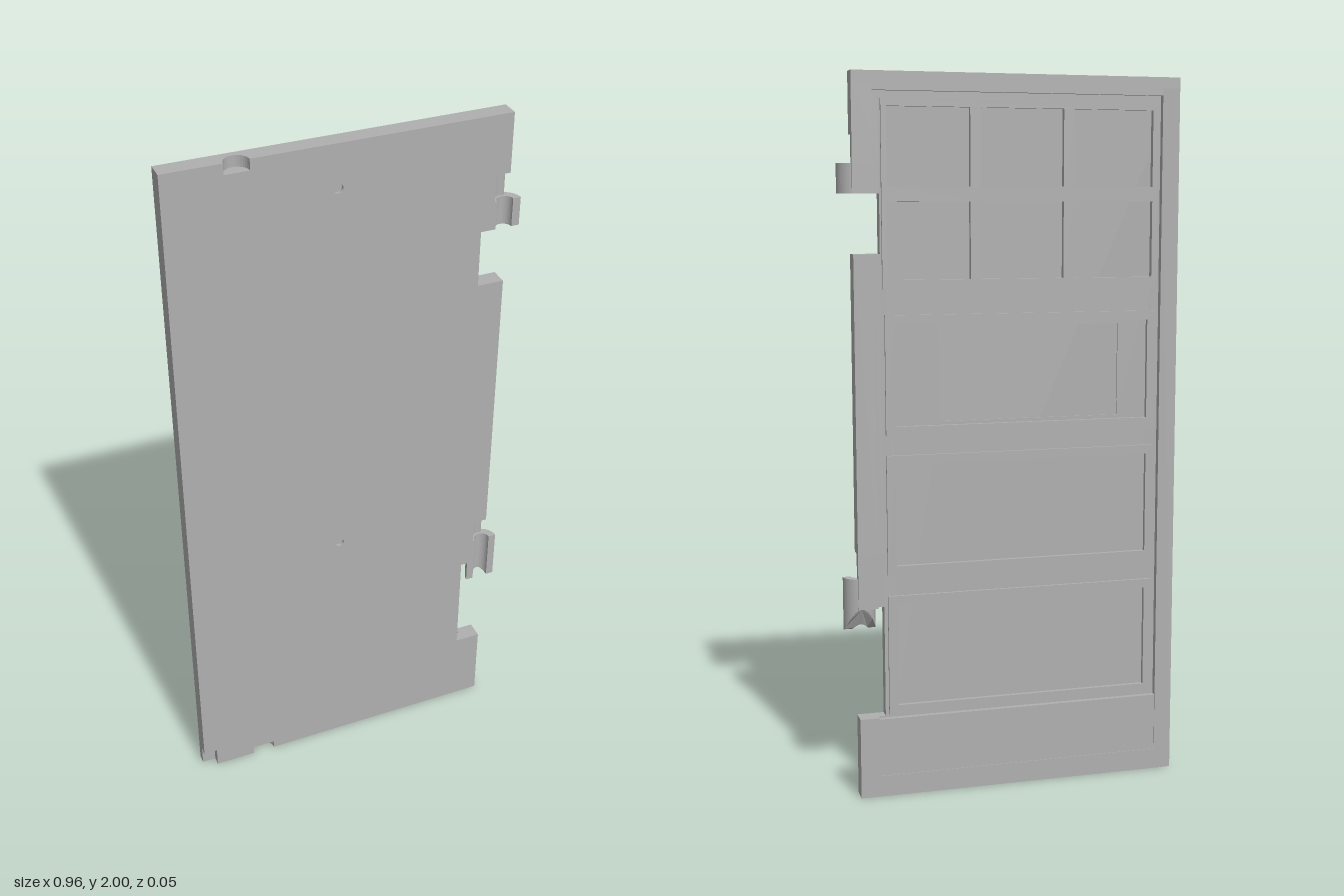
import * as THREE from 'three';

const F = 0.025;            // half thickness: front face z = F, back face z = -F
const FLOOR = -0.008;       // recessed field on the back
const HINGE_X = 0.435;

export function createModel() {
  const group = new THREE.Group();
  const grey = new THREE.MeshStandardMaterial({ color: 0xb0b0b0 });
  grey.name = 'grey';

  const add = (name, geo) => {
    const mesh = new THREE.Mesh(geo, grey);
    mesh.name = name;
    group.add(mesh);
    return mesh;
  };
  const poly = (pts) => new THREE.Shape(pts.map(([x, y]) => new THREE.Vector2(x, y)));
  const rect = ([x0, x1, y0, y1]) => poly([[x0, y0], [x1, y0], [x1, y1], [x0, y1]]);
  const circle = (x, y, r) => new THREE.Path().absarc(x, y, r, 0, Math.PI * 2);

  // Upright layer: outline in x/y, thickness z0..z1
  const layer = (name, shape, holes, z0, z1) => {
    shape.holes.push(...holes);
    const geo = new THREE.ExtrudeGeometry(shape, { depth: z1 - z0, bevelEnabled: false, curveSegments: 16 });
    return add(name, geo.translate(0, 0, z0));
  };
  // Horizontal slice: outline in x/-z, height y0..y1
  const slice = (name, pts, y0, y1) => {
    const geo = new THREE.ExtrudeGeometry(poly(pts), { depth: y1 - y0, bevelEnabled: false });
    return add(name, geo.rotateX(-Math.PI / 2).translate(0, y0, 0));
  };
  // Arc points around a centre on the front face
  const arc = (cx, r, a0, a1, n = 16) => Array.from({ length: n + 1 }, (_, i) => {
    const a = a0 + (a1 - a0) * i / n;
    return [cx + r * Math.cos(a), -F + r * Math.sin(a)];
  });

  // Top and bottom strips with half-round pivot sockets
  const socket = arc(-0.288, 0.033, Math.PI, 0);
  const back = [[0.445, -F], [0.445, F], [-0.48, F]];
  slice('topStrip', [[-0.48, -F], ...socket, ...back], 1.97, 2);
  slice('bottomStrip', [[-0.48, 0], [-0.44, 0], [-0.44, -F], ...socket, ...back], 0, 0.025);

  // Hinge-side stile, built from slices between the two cut-outs
  const stileBack = [[0.445, F], [0.39, F], [0.39, -FLOOR], [0.37, -FLOOR], [0.37, -F]];
  const plain = [[0.445, -F], ...stileBack];
  const pocket = [...arc(HINGE_X, 0.03, Math.PI, Math.acos(1 / 3)), ...stileBack];
  const knuckle = [...arc(HINGE_X, 0.023, Math.PI, 0), ...arc(HINGE_X, 0.045, 0, Math.acos(0.01 / 0.045)), ...stileBack];
  [
    ['lowerStile', plain, 0.025, 0.23],
    ['lowerHingeKnuckle', knuckle, 0.545, 0.63],
    ['lowerPinPocket', pocket, 0.63, 0.70],
    ['middleStile', plain, 0.70, 1.52],
    ['upperHingeKnuckle', knuckle, 1.68, 1.76],
    ['upperPinPocket', pocket, 1.76, 1.835],
    ['upperStile', plain, 1.835, 1.97],
  ].forEach((s) => slice(...s));

  // Hinge clip hanging below the lower knuckle, with a curved lower edge
  const clip = slice('hingeClip', [...arc(HINGE_X, 0.023, Math.PI, 0), ...arc(HINGE_X, 0.045, 0, Math.PI)], 0.48, 0.55);
  const pos = clip.geometry.attributes.position;
  for (let i = 0; i < pos.count; i++) {
    if (pos.getY(i) < 0.5) {
      const t = Math.max(0, (F - pos.getZ(i)) / 0.045);
      pos.setY(i, 0.48 + 0.065 * t * t);
    }
  }
  clip.geometry.computeVertexNormals();

  // Window panes and panels on the back: [x0, x1, y0, y1]
  const panes = [];
  for (const [x0, x1] of [[0.12, 0.35], [-0.145, 0.09], [-0.405, -0.175]]) {
    for (const [y0, y1] of [[1.45, 1.66], [1.70, 1.91]]) panes.push([x0, x1, y0, y1]);
  }
  const panels = [[1.05, 1.33], [0.66, 0.945], [0.26, 0.55]].map(([y0, y1]) => [-0.395, 0.335, y0, y1]);
  const inset = [-0.31, 0.21, 1.06, 1.32];
  const grow = ([x0, x1, y0, y1], d) => [x0 - d, x1 + d, y0 - d, y1 + d];

  // Main slab: front skin, core, and stepped layers behind
  const field = [-0.48, 0.37, 0.025, 1.97];
  const notched = () => poly([[-0.44, 0.025], [0.37, 0.025], [0.37, 1.97], [-0.48, 1.97], [-0.48, 0.06], [-0.44, 0.06]]);
  layer('frontSkin', notched(), [circle(-0.03, 1.88, 0.013), circle(-0.03, 0.76, 0.013)], 0.015, F);
  layer('core', notched(), [], 0, 0.015);
  layer('panelLayer', rect(field), [...panes, inset].map(rect), -0.004, 0);
  layer('fieldLayer', rect(field), [...panes, ...panels].map(rect), FLOOR, -0.004);

  // Raised border and kick plate
  layer('freeStile', rect([-0.48, -0.43, 0.025, 1.97]), [], -F, FLOOR);
  layer('topRail', rect([-0.43, 0.39, 1.95, 1.97]), [], -F, FLOOR);
  layer('bottomRail', rect([-0.43, 0.39, 0.025, 0.06]), [], -F, FLOOR);
  layer('kickPlate', rect([-0.43, 0.39, 0.06, 0.225]), [], -0.023, FLOOR);

  // Raised mouldings around the window and panels
  layer('windowFrame', rect([-0.42, 0.365, 1.425, 1.93]), panes.map(rect), -0.016, FLOOR);
  panels.forEach((p) => layer('panelMoulding', rect(grow(p, 0.025)), [rect(p)], -0.016, FLOOR));

  return group;
}
